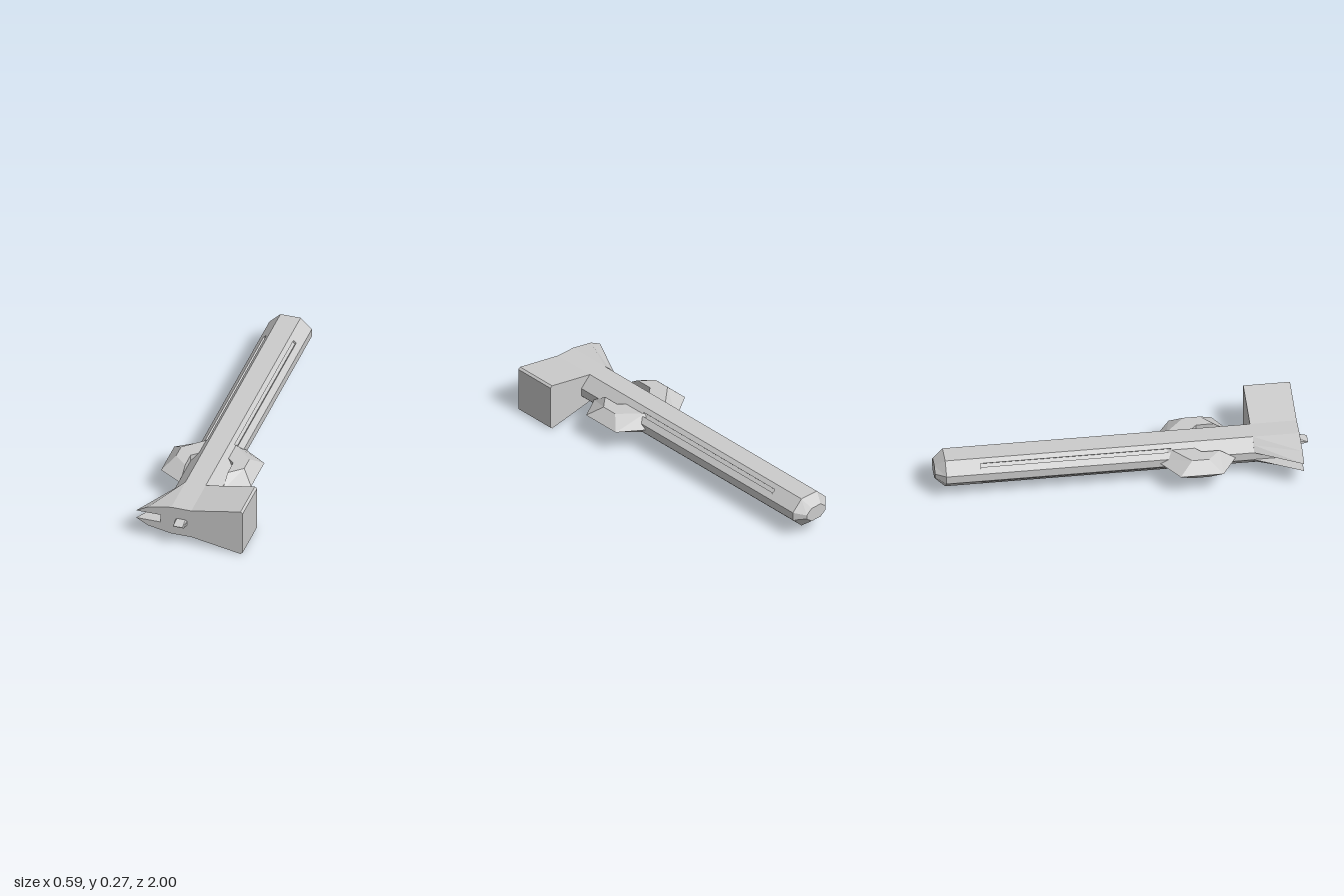
import * as THREE from 'three';

const CX = -0.045, CY = 0.136; // shaft axis
const material = new THREE.MeshStandardMaterial({ color: 0xcccccc, flatShading: true });

// Solid through matching outlines; each section is { w, pts: [[u, v], ...] } along z
function loft(sections) {
  const flip = THREE.ShapeUtils.isClockWise(sections[0].pts.map(p => new THREE.Vector2(...p)));
  const rings = sections.map(s => {
    const ring = s.pts.map(([u, v]) => new THREE.Vector3(u, v, s.w));
    return flip ? ring.reverse() : ring;
  });
  const verts = [];
  const tri = (a, b, c) => verts.push(...a.toArray(), ...b.toArray(), ...c.toArray());
  for (let k = 0; k < rings.length - 1; k++) {
    const a = rings[k], b = rings[k + 1], n = a.length;
    for (let i = 0; i < n; i++) {
      const j = (i + 1) % n;
      tri(a[i], a[j], b[j]);
      tri(a[i], b[j], b[i]);
    }
  }
  const cap = (ring, front) => {
    const faces = THREE.ShapeUtils.triangulateShape(ring.map(p => new THREE.Vector2(p.x, p.y)), []);
    for (const [a, b, c] of faces) {
      if (front) tri(ring[a], ring[b], ring[c]);
      else tri(ring[a], ring[c], ring[b]);
    }
  };
  cap(rings[0], false);
  cap(rings[rings.length - 1], true);
  const geometry = new THREE.BufferGeometry();
  geometry.setAttribute('position', new THREE.Float32BufferAttribute(verts, 3));
  geometry.computeVertexNormals();
  return geometry;
}

// Full outline from one quarter, mirrored both ways about the shaft axis
function fromQuarter(q, sx = 1, sy = 1) {
  const r = [...q].reverse();
  return [
    ...q,
    ...r.map(([x, y]) => [-x, y]),
    ...q.map(([x, y]) => [-x, -y]),
    ...r.map(([x, y]) => [x, -y]),
  ].map(([x, y]) => [CX + x * sx, CY + y * sy]);
}

export function createModel() {
  const model = new THREE.Group();
  const add = (name, geometry, parent = model) => {
    const mesh = new THREE.Mesh(geometry, material);
    mesh.name = name;
    parent.add(mesh);
  };

  // Eight-sided shaft with a long slot in each sloping face
  const plain = [[0.118, 0.023], [0.056, 0.084]];
  const slotted = [plain[0], [0.091, 0.05], [0.083, 0.041], [0.068, 0.056], [0.076, 0.064], plain[1]];
  const octagon = fromQuarter(plain);
  const shaft = new THREE.Group();
  shaft.name = 'shaft';
  model.add(shaft);
  add('shaftEnd', loft([
    { w: -1, pts: fromQuarter(plain, 0.58, 0.48) },
    { w: -0.945, pts: octagon },
    { w: -0.76, pts: octagon },
  ]), shaft);
  const grooved = fromQuarter(slotted);
  add('slottedShaft', loft([{ w: -0.76, pts: grooved }, { w: 0.26, pts: grooved }]), shaft);
  add('shaftNeck', loft([{ w: 0.26, pts: octagon }, { w: 0.7, pts: octagon }]), shaft);

  // Head: flared block on one side, split claw swept out of the shaft on the other
  const headOutline = (midX, midY, tipX) => {
    const upper = [
      [-0.16, 0.023], [tipX, 0.023], [midX, midY], [-0.101, 0.084],
      [0.011, 0.084], [0.285, 0.135], [0.297, 0.125],
    ];
    const lower = upper.map(([x, y]) => [x, -y]).reverse();
    return [...upper, ...lower].map(([x, y]) => [x, CY + y]);
  };
  add('head', loft([
    { w: 0.7, pts: headOutline(-0.135, 0.053, -0.163) },
    { w: 0.95, pts: headOutline(-0.23, 0.059, -0.296) },
  ]));

  // Small wedge-shaped stud on the front of the head
  const stud = [[0.032, 0.013], [0.023, 0.021]];
  add('stud', loft([
    { w: 0.945, pts: fromQuarter(stud) },
    { w: 1, pts: fromQuarter(stud, 0.95, 0.08) },
  ]));

  // Pair of bevelled side guards, given as [distance from axis, z]
  const rim = [[0.118, 0.6], [0.251, 0.52], [0.251, 0.29], [0.075, 0.17], [0.075, 0.38], [0.118, 0.42]];
  const face = [[0.118, 0.515], [0.19, 0.45], [0.19, 0.36], [0.075, 0.255], [0.075, 0.38], [0.118, 0.42]];
  for (const side of [1, -1]) {
    const place = pts => pts.map(([d, z]) => [CX + side * d, -z]);
    const geometry = loft([
      { w: CY - 0.058, pts: place(face) },
      { w: CY, pts: place(rim) },
      { w: CY + 0.058, pts: place(face) },
    ]);
    geometry.rotateX(-Math.PI / 2);
    add(side > 0 ? 'leftGuard' : 'rightGuard', geometry);
  }

  return model;
}
